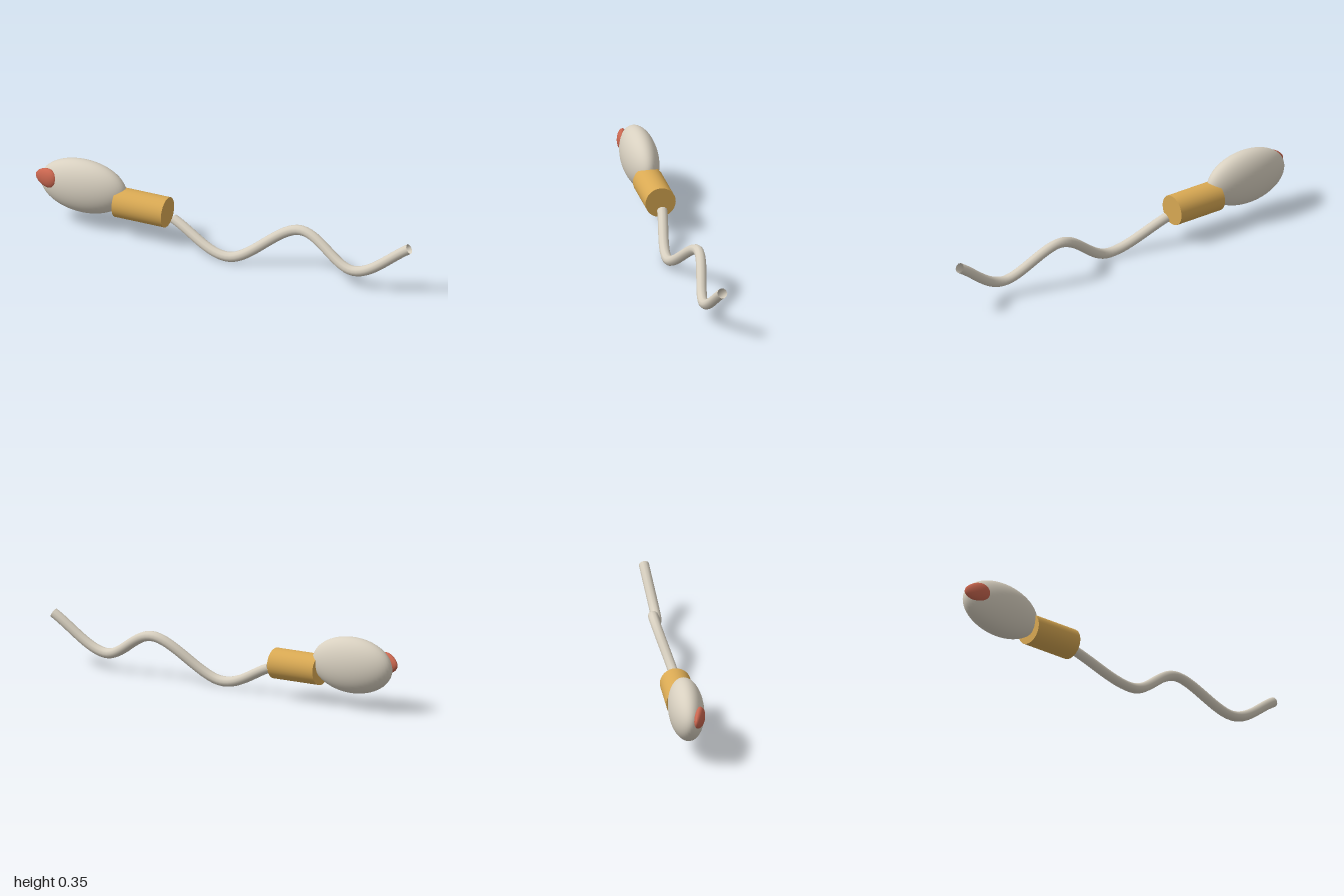
import * as THREE from 'three';

function material(name, color) {
  const m = new THREE.MeshStandardMaterial({ color });
  m.name = name;
  return m;
}

export function createModel() {
  const model = new THREE.Group();
  const cream = material('cream', 0xd8d0c0);
  const tailCream = cream.clone();
  tailCream.name = 'tailCream';
  tailCream.side = THREE.DoubleSide; // open tube
  const ochre = material('ochre', 0xd9a953);
  const coral = material('coral', 0xc9664f);

  const add = (name, geometry, mat, position = [0, 0, 0]) => {
    const mesh = new THREE.Mesh(geometry, mat);
    mesh.name = name;
    mesh.position.set(...position);
    model.add(mesh);
    return mesh;
  };

  // Flattened egg-shaped head
  const head = new THREE.SphereGeometry(1, 48, 32).scale(0.226, 0.138, 0.085);
  add('head', head, cream, [-0.755, 0.218, 0]);

  // Cap on the front side of the head tip, tapering outwards
  const cap = new THREE.SphereGeometry(1, 32, 24);
  const p = cap.attributes.position;
  for (let i = 0; i < p.count; i++) {
    const taper = 1 + 0.2 * p.getX(i);
    p.setXYZ(i, p.getX(i) * 0.067, p.getY(i) * 0.049 * taper, p.getZ(i) * 0.025 * taper);
  }
  cap.computeVertexNormals();
  const capMesh = add('headCap', cap, coral, [-0.935, 0.242, 0.042]);
  capMesh.rotation.set(0, -0.3, 0.08);

  // Cylindrical collar behind the head
  const collar = new THREE.CylinderGeometry(0.075, 0.075, 0.264, 32).rotateZ(Math.PI / 2);
  add('collar', collar, ochre, [-0.44, 0.171, 0]);

  // Wavy open tail
  const path = new THREE.CatmullRomCurve3([
    [-0.275, 0.144, 0],
    [0.04, 0.029, 0.048],
    [0.39, 0.218, -0.022],
    [0.7, 0.087, 0.027],
    [0.983, 0.255, 0],
  ].map((q) => new THREE.Vector3(...q)));
  add('tail', new THREE.TubeGeometry(path, 64, 0.025, 10, false), tailCream);

  return model;
}
